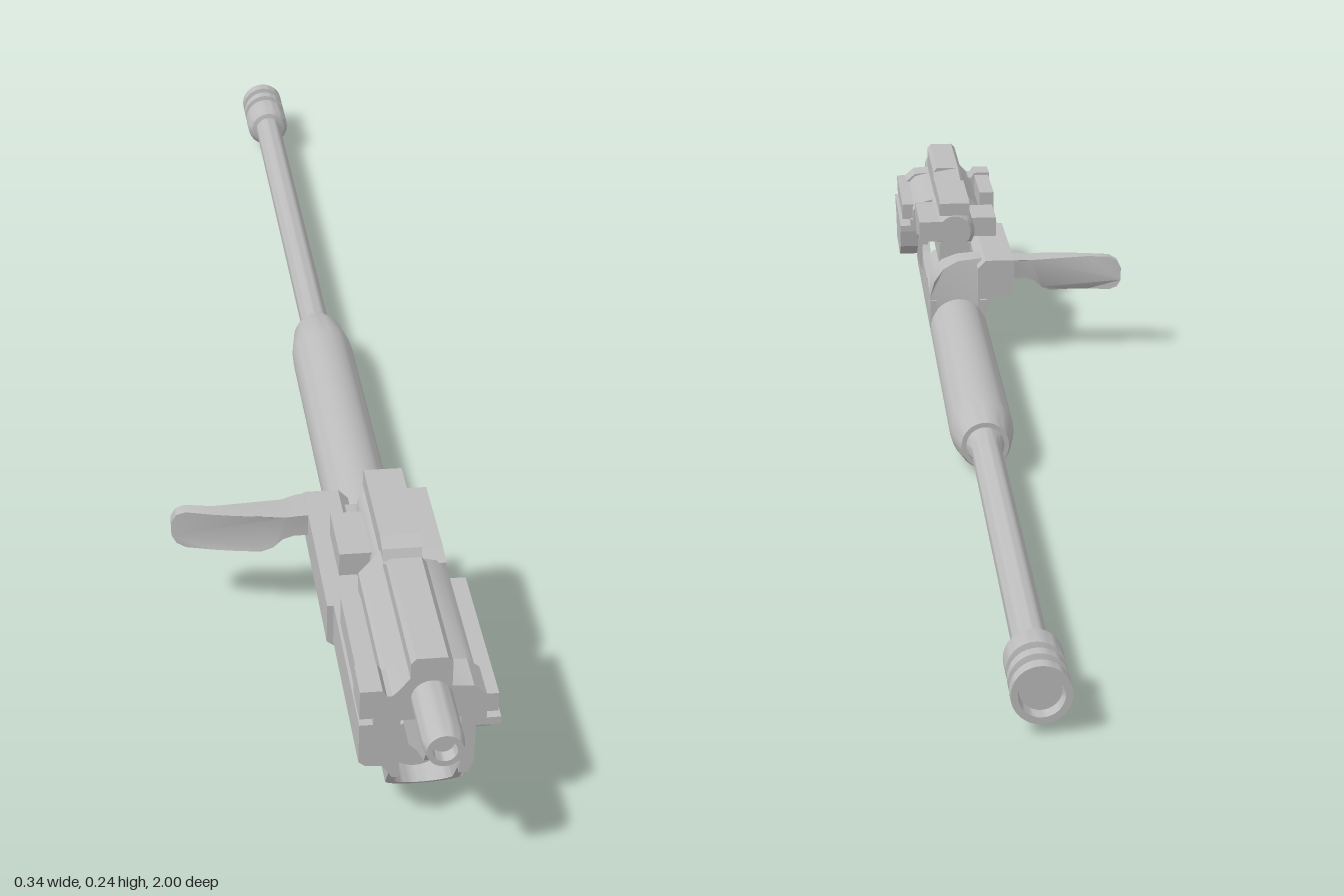
import * as THREE from 'three';
import { toCreasedNormals } from 'three/addons/utils/BufferGeometryUtils.js';

const CX = 0.09;        // long axis of the machine part
const TUBE_Y = 0.045;   // height of the rod axis
const BOLT_Y = 0.187;   // height of the bolt axis

export function createModel() {
  const group = new THREE.Group();
  const steel = new THREE.MeshStandardMaterial({ color: 0xbcbcbc });
  steel.name = 'grey steel';

  function add(name, geometry) {
    const mesh = new THREE.Mesh(geometry, steel);
    mesh.name = name;
    group.add(mesh);
    return mesh;
  }
  // Cross-section in x, y pushed along z
  function prism(name, points, z0, z1, rule) {
    const shape = new THREE.Shape(points.map(p => new THREE.Vector2(p[0], p[1])));
    const g = new THREE.ExtrudeGeometry(shape, { depth: z1 - z0, bevelEnabled: false });
    g.translate(0, 0, z0);
    if (rule) {
      const p = g.attributes.position;
      for (let i = 0; i < p.count; i++) {
        p.setZ(i, rule(p.getX(i), p.getY(i), p.getZ(i)));
      }
    }
    return add(name, toCreasedNormals(g, 0.6));
  }
  // Side profile in z, y given thickness along x
  function sidePlate(name, points, x0, x1) {
    const shape = new THREE.Shape(points.map(p => new THREE.Vector2(-p[0], p[1])));
    const g = new THREE.ExtrudeGeometry(shape, { depth: x1 - x0, bevelEnabled: false });
    g.rotateY(Math.PI / 2);
    g.translate(x0, 0, 0);
    return add(name, g);
  }
  function box(name, x0, x1, y0, y1, z0, z1) {
    const g = new THREE.BoxGeometry(x1 - x0, y1 - y0, z1 - z0);
    g.translate((x0 + x1) / 2, (y0 + y1) / 2, (z0 + z1) / 2);
    return add(name, g);
  }
  // Turned part along z, profile as [radius, z] from back to front
  function turned(name, profile, y, sides = 32) {
    const g = new THREE.LatheGeometry(profile.map(p => new THREE.Vector2(p[0], p[1])), sides);
    g.rotateX(Math.PI / 2);
    g.translate(CX, y, 0);
    return add(name, toCreasedNormals(g, 0.6));
  }

  // Rod, sleeve and grooved head
  turned('grooved head', [
    [0, -0.985], [0.024, -0.985], [0.026, -1], [0.034, -1], [0.034, -0.982], [0.026, -0.98],
    [0.026, -0.968], [0.034, -0.966], [0.034, -0.95], [0.026, -0.948], [0.026, -0.936],
    [0.034, -0.934], [0.034, -0.897], [0.028, -0.888], [0.021, -0.886]], TUBE_Y);
  turned('thin rod', [[0.021, -0.89], [0.021, -0.2], [0.027, -0.165]], TUBE_Y);
  turned('sleeve', [
    [0.02, -0.168], [0.033, -0.168], [0.036, -0.16], [0.044, -0.11],
    [0.045, -0.09], [0.045, 0.43], [0, 0.43]], TUBE_Y);

  // Open trough with slanted mouth, and the solid core inside it
  const trough = [[CX - 0.045, 0.09]];
  for (let i = 0; i <= 16; i++) {
    const a = Math.PI * (1 + i / 16);
    trough.push([CX + 0.045 * Math.cos(a), TUBE_Y + 0.045 * Math.sin(a)]);
  }
  trough.push([CX + 0.045, 0.09], [CX + 0.035, 0.09]);
  for (let i = 16; i >= 0; i--) {
    const a = Math.PI * (1 + i / 16);
    trough.push([CX + 0.034 * Math.cos(a), TUBE_Y + 0.034 * Math.sin(a)]);
  }
  trough.push([CX - 0.035, 0.09]);
  prism('trough', trough, 0.42, 0.9, (x, y, z) => (z > 0.8 ? Math.min(0.83 + y, 0.905) : z));
  turned('core', [[0.034, 0.42], [0.034, 0.81], [0, 0.81]], TUBE_Y);

  // Carrier block with the slot open below
  prism('carrier', [
    [0.008, 0.153], [0.008, 0.1], [0.016, 0.094], [0.036, 0.092], [0.047, 0.075], [0.055, 0.075],
    [0.055, 0.157], [0.125, 0.157], [0.125, 0.075], [0.135, 0.075], [0.142, 0.092],
    [0.142, 0.143], [0.171, 0.143], [0.171, 0.153], [0.154, 0.153], [0.154, 0.164],
    [0.024, 0.164], [0.024, 0.153]], 0.67, 0.905);
  sidePlate('side flange', [
    [0.675, 0.143], [0.68, 0.115], [0.72, 0.092], [0.845, 0.092], [0.85, 0.108],
    [0.867, 0.13], [0.9, 0.143]], 0.14, 0.171);
  sidePlate('guide rib', [
    [0.5, 0.157], [0.5, 0.076], [0.85, 0.076], [0.905, 0.112], [0.952, 0.136],
    [0.96, 0.15], [0.955, 0.157]], CX - 0.015, CX + 0.015);

  // Bolt front: ridge with two wings
  prism('bolt wings', [
    [0.008, 0.2], [0.008, 0.162], [0.167, 0.162], [0.167, 0.187], [0.153, 0.187],
    [0.138, 0.2], [0.113, 0.202], [0.066, 0.217], [0.053, 0.2], [0.045, 0.192],
    [0.039, 0.192], [0.034, 0.2]], 0.855, 0.905);
  prism('bolt body', [
    [0.04, 0.162], [0.15, 0.162], [0.15, 0.183], [0.138, 0.196], [0.113, 0.202],
    [0.066, 0.217], [0.053, 0.2], [0.04, 0.185]], 0.655, 0.86);
  box('left wing', 0.01, 0.034, 0.162, 0.196, 0.72, 0.86);
  box('right wing', 0.148, 0.167, 0.162, 0.187, 0.68, 0.86);
  prism('top ridge', [
    [0.065, 0.2], [0.113, 0.2], [0.113, 0.235], [0.107, 0.242], [0.071, 0.242],
    [0.065, 0.235]], 0.66, 0.905, (x, y, z) => (z < 0.7 && y > 0.22 ? 0.71 : z));

  // Front pin with hollow end
  turned('front pin', [
    [0.024, 0.9], [0.024, 0.985], [0.021, 1], [0.014, 1], [0.013, 0.985], [0, 0.985]], BOLT_Y, 24);

  // Bolt rear: round core, lugs and narrow rail
  turned('bolt core', [[0, 0.5], [0.026, 0.5], [0.033, 0.51], [0.033, 0.67]], 0.183, 24);
  sidePlate('rear rail', [
    [0.5, 0.21], [0.68, 0.21], [0.67, 0.228], [0.65, 0.234], [0.505, 0.234], [0.5, 0.23]],
    0.066, 0.114);
  sidePlate('right lug', [
    [0.5, 0.168], [0.56, 0.168], [0.58, 0.155], [0.62, 0.155], [0.62, 0.172],
    [0.66, 0.172], [0.66, 0.196], [0.63, 0.2], [0.5, 0.2]], 0.1, 0.147);
  box('left lug', 0.02, 0.07, 0.165, 0.196, 0.54, 0.63);
  box('lower lug', 0.065, 0.115, 0.13, 0.165, 0.5, 0.6);

  // Carrier rear: side walls and rounded, sloping back block
  prism('left wall', [
    [0, 0.153], [0, 0.1], [0.008, 0.094], [0.036, 0.092], [0.047, 0.06],
    [0.058, 0.06], [0.058, 0.14], [0.045, 0.153]], 0.425, 0.675);
  sidePlate('right wall', [
    [0.425, 0.06], [0.68, 0.06], [0.68, 0.13], [0.66, 0.11], [0.64, 0.1],
    [0.52, 0.1], [0.5, 0.11], [0.425, 0.09]], 0.122, 0.135);
  prism('back block', [
    [0.045, 0.06], [0.135, 0.06], [0.135, 0.095], [0.128, 0.12], [0.112, 0.138],
    [0.088, 0.147], [0.05, 0.15]], 0.425, 0.5,
  (x, y, z) => (z < 0.45 ? z + Math.max(0, y - 0.13) * 1.5 : z));

  // Curved side handle: thin plate bent along its length
  const outline = [
    [0.01, 0.152], [-0.01, 0.152], [-0.03, 0.15], [-0.06, 0.152], [-0.09, 0.152],
    [-0.12, 0.152], [-0.155, 0.152], [-0.167, 0.146], [-0.173, 0.134], [-0.173, 0.114],
    [-0.167, 0.103], [-0.155, 0.098], [-0.12, 0.098], [-0.09, 0.098], [-0.06, 0.098],
    [-0.045, 0.104], [-0.032, 0.117], [-0.018, 0.122], [0.01, 0.122]];
  prism('side handle', outline, 0, 1, (x, y, z) => {
    const t = THREE.MathUtils.clamp(-x / 0.17, 0, 1);
    return z > 0.5 ? 0.478 - 0.028 * t * t : 0.425 + 0.009 * t + 0.016 * Math.sin(t * Math.PI);
  });

  return group;
}
